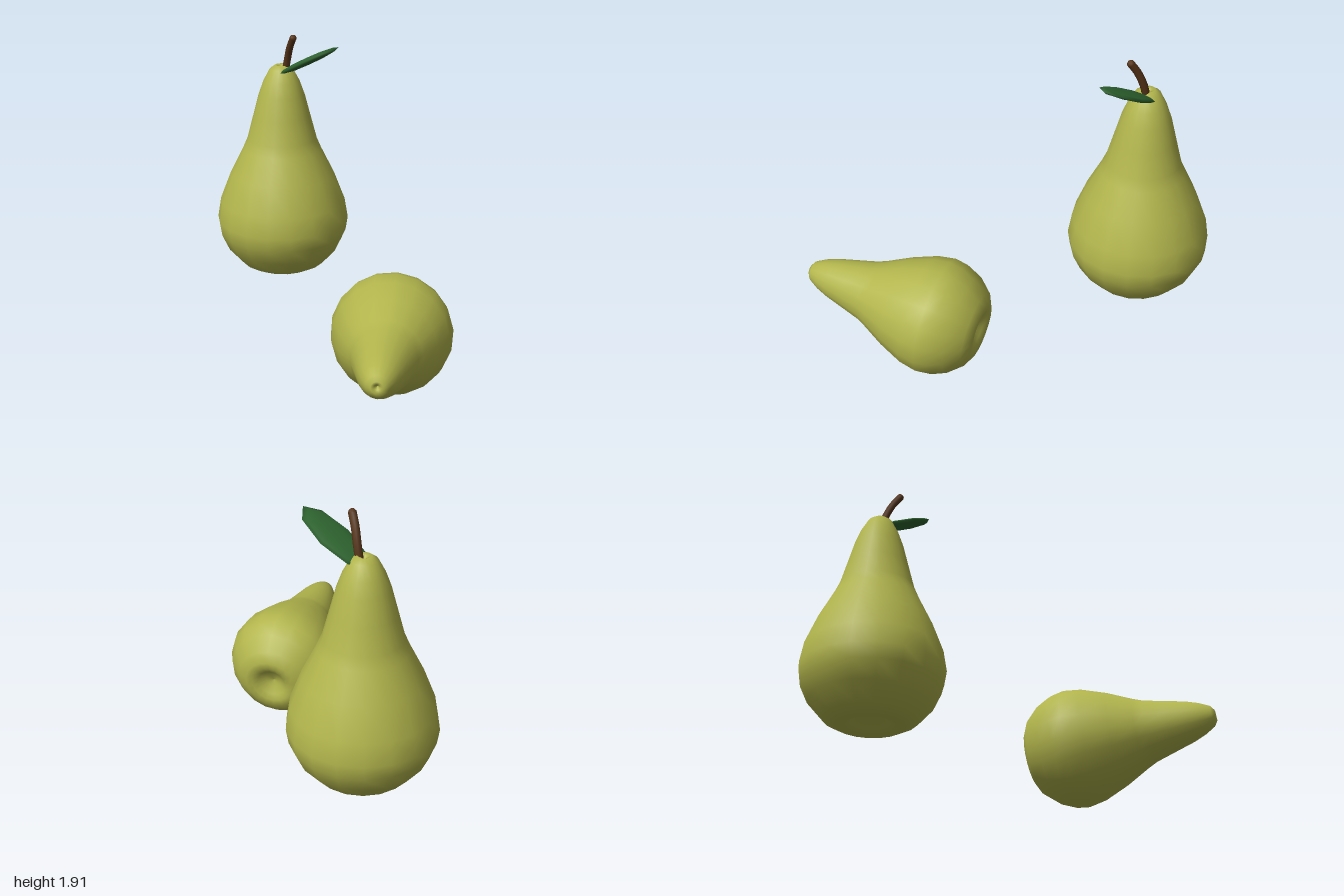
import * as THREE from 'three';

export function createModel() {
  const skin = new THREE.MeshStandardMaterial({ color: 0xb2b54c });
  skin.name = 'pearSkin';
  const bark = new THREE.MeshStandardMaterial({ color: 0x573519 });
  bark.name = 'stemBrown';
  const green = new THREE.MeshStandardMaterial({ color: 0x2f6530 });
  green.name = 'leafGreen';

  const model = new THREE.Group();
  model.name = 'pears';
  const add = (name, geometry, material, parent) => {
    const mesh = new THREE.Mesh(geometry, material);
    mesh.name = name;
    parent.add(mesh);
    return mesh;
  };

  // Fruit profile (radius, height above the widest ring), dimpled at both ends
  const profile = [
    [0, -0.265], [0.06, -0.28], [0.11, -0.315], [0.155, -0.335], [0.205, -0.336],
    [0.28, -0.297], [0.37, -0.195], [0.418, -0.09], [0.432, 0], [0.41, 0.13],
    [0.34, 0.31], [0.255, 0.48], [0.225, 0.55], [0.185, 0.70], [0.148, 0.84],
    [0.115, 0.93], [0.075, 1.005], [0.04, 1.03], [0.018, 1.02], [0, 0.99],
  ].map(([r, y]) => new THREE.Vector2(r, y));
  const fruit = new THREE.LatheGeometry(profile, 18);

  // Upright pear
  const upright = new THREE.Group();
  upright.name = 'uprightPear';
  model.add(upright);
  add('uprightFruit', fruit, skin, upright).position.set(-0.565, 0.666, -0.49);

  // Curved stem with a rounded tip
  const tip = new THREE.Vector3(-0.447, 1.887, -0.445);
  const path = new THREE.CatmullRomCurve3([
    new THREE.Vector3(-0.545, 1.64, -0.5),
    new THREE.Vector3(-0.518, 1.74, -0.49),
    new THREE.Vector3(-0.485, 1.825, -0.468),
    tip,
  ]);
  add('stem', new THREE.TubeGeometry(path, 8, 0.023, 8), bark, upright);
  add('stemTip', new THREE.SphereGeometry(0.023, 8, 6), bark, upright).position.copy(tip);

  // Slim eight-sided leaf tucked into the crown
  const leaf = add('leaf', new THREE.SphereGeometry(1, 8, 6), green, upright);
  leaf.scale.set(0.247, 0.023, 0.112);
  leaf.rotation.z = 0.48;
  leaf.position.set(-0.368, 1.743, -0.494);

  // Smaller pear lying on its side, neck towards the front left
  const lying = add('lyingFruit', fruit, skin, model);
  lying.scale.setScalar(0.837);
  lying.position.set(0.583, 0.362, 0.115);
  lying.quaternion.setFromUnitVectors(
    new THREE.Vector3(0, 1, 0),
    new THREE.Vector3(0.33, 0.115, 0.79).normalize(),
  );

  return model;
}
